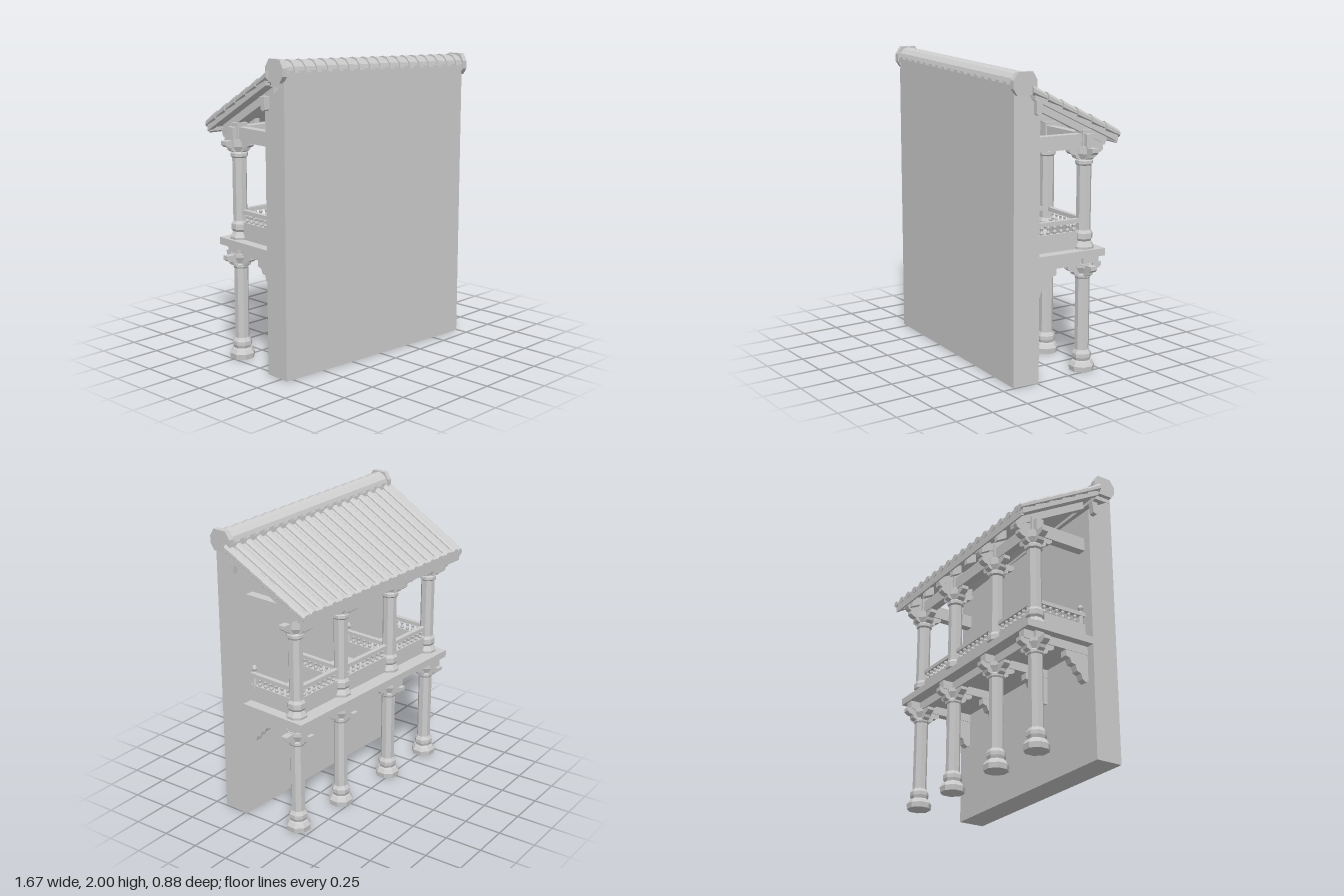
import * as THREE from 'three';

export function createModel() {
  const stone = new THREE.MeshStandardMaterial({ color: 0xcccccc });
  stone.name = 'plain grey';
  stone.flatShading = true;
  const root = new THREE.Group();
  root.name = 'balconyHouse';

  const add = (parent, name, geo, x = 0, y = 0, z = 0, ry = 0) => {
    const m = new THREE.Mesh(geo, stone);
    m.name = name;
    m.position.set(x, y, z);
    m.rotation.y = ry;
    parent.add(m);
    return m;
  };
  // box given by its limits
  const block = (parent, name, x0, x1, y0, y1, z0, z1) =>
    add(parent, name, new THREE.BoxGeometry(x1 - x0, y1 - y0, z1 - z0),
      (x0 + x1) / 2, (y0 + y1) / 2, (z0 + z1) / 2);
  // side profile of [outward, up] points, extruded across x; outward is -z
  const sideProfile = (pts, width) => {
    const s = new THREE.Shape(pts.map(p => new THREE.Vector2(p[0], p[1])));
    return new THREE.ExtrudeGeometry(s, { depth: width, bevelEnabled: false })
      .translate(0, 0, -width / 2).rotateY(Math.PI / 2);
  };
  const octLathe = pts => new THREE.LatheGeometry(
    pts.map(p => new THREE.Vector2(p[0], p[1])), 8).rotateY(Math.PI / 8);

  // turned slightly on its plot
  const house = new THREE.Group();
  house.name = 'house';
  house.rotation.y = -0.075;
  root.add(house);

  const columnX = [-0.69, -0.26, 0.25, 0.68];
  const columnZ = -0.2;
  const wallZ = 0.18;

  // rear wall with a sloping top
  add(house, 'wall', sideProfile([[-0.363, 0], [-0.18, 0], [-0.18, 1.73], [-0.25, 1.78], [-0.363, 1.85]], 1.545), -0.003);

  // balcony floor
  block(house, 'floor', -0.775, 0.765, 0.757, 0.805, -0.312, wallZ);
  block(house, 'floorBeam', -0.74, 0.73, 0.70, 0.757, columnZ - 0.03, columnZ + 0.03);

  // columns
  const lowerColumn = octLathe([[0, 0], [0.08, 0], [0.084, 0.035], [0.066, 0.062], [0.056, 0.07],
    [0.063, 0.09], [0.063, 0.115], [0.05, 0.135], [0.047, 0.14], [0.047, 0.61], [0.053, 0.62],
    [0.053, 0.635], [0.047, 0.645], [0.066, 0.685], [0.066, 0.71], [0, 0.71]]);
  const upperColumn = octLathe([[0, 0.8], [0.068, 0.8], [0.07, 0.82], [0.055, 0.845], [0.05, 0.855],
    [0.06, 0.87], [0.06, 0.905], [0.05, 0.92], [0.047, 0.925], [0.047, 1.335], [0.057, 1.345],
    [0.057, 1.365], [0.048, 1.375], [0.066, 1.41], [0.066, 1.46], [0, 1.46]]);
  const corbel = sideProfile([[0, 0.70], [0, 0.525], [0.02, 0.515], [0.045, 0.53], [0.055, 0.565],
    [0.085, 0.575], [0.095, 0.615], [0.125, 0.62], [0.138, 0.65], [0.168, 0.66], [0.168, 0.70]], 0.05);
  const arm = sideProfile([[0, 0.075], [0, 0], [0.055, 0], [0.075, 0.01], [0.08, 0.03],
    [0.105, 0.035], [0.125, 0.05], [0.125, 0.075]], 0.045);
  const arms = (x, y, name) => {
    for (let k = 0; k < 4; k++) add(house, name, arm, x, y, columnZ, k * Math.PI / 2);
  };
  columnX.forEach((x, i) => {
    add(house, 'lowerColumn', lowerColumn, x, 0, columnZ);
    add(house, 'upperColumn', upperColumn, x, 0, columnZ);
    arms(x, 0.63, 'lowerBracket');
    arms(x, 1.375, 'upperBracket');
    add(house, 'wallCorbel', corbel, x, 0, wallZ);
    block(house, 'floorJoist', x - 0.028, x + 0.028, 0.70, 0.757, -0.3, wallZ);
    block(house, 'topBlock', x - 0.04, x + 0.04, 1.45, 1.56, columnZ - 0.04, columnZ + 0.04);
    if (i === 0 || i === 3) block(house, 'tieBeam', x - 0.03, x + 0.03, 1.443, 1.535, columnZ, wallZ);
    // stepped arm carrying the eave
    add(house, 'eaveBracket', sideProfile([[0, 0.08], [0, 0], [0.1, 0], [0.115, 0.02],
      [0.14, 0.025], [0.15, 0.05], [0.15, 0.08]], 0.045), x, 1.43, columnZ);
  });
  block(house, 'topBeam', -0.76, 0.75, 1.45, 1.535, columnZ - 0.028, columnZ + 0.028);

  // railings: low panel, balusters and handrail between two points
  const baluster = new THREE.LatheGeometry([[0.008, 0.915], [0.013, 0.93], [0.007, 0.945], [0.013, 0.96], [0.008, 0.975]]
    .map(p => new THREE.Vector2(p[0], p[1])), 6);
  const post = octLathe([[0.016, 0.8], [0.016, 1.0], [0.009, 1.01], [0.019, 1.03], [0.012, 1.048], [0, 1.055]]);
  const railing = (name, x, z, length, ry) => {
    const g = new THREE.Group();
    g.name = name;
    g.position.set(x, 0, z);
    g.rotation.y = ry;
    house.add(g);
    block(g, 'panel', 0, length, 0.80, 0.918, -0.014, 0.014);
    block(g, 'handrail', 0, length, 0.972, 0.998, -0.016, 0.016);
    const n = Math.round(length / 0.05);
    for (let i = 0; i < n; i++) add(g, 'baluster', baluster, (i + 0.5) * length / n);
  };
  columnX.forEach((x, i) => {
    railing('sideRailing', x, columnZ, wallZ - columnZ, -Math.PI / 2);
    add(house, 'railPost', post, x, 0, wallZ - 0.025);
    if (i < 3) railing('frontRailing', x, columnZ, columnX[i + 1] - x, 0);
  });

  // roof space: x along the eave, y above the roof surface, z from ridge (0.5) to eave (-0.5)
  const toRoof = geo => {
    const p = geo.attributes.position;
    for (let i = 0; i < p.count; i++) {
      const x = p.getX(i), t = 0.5 - p.getZ(i), k = (x + 0.81) / 1.61;
      const ridgeY = 1.905 - 0.065 * k, eaveY = 1.55 - 0.012 * k;
      p.setXYZ(i, x, ridgeY + (eaveY - ridgeY) * t + p.getY(i), 0.25 - 0.63 * t);
    }
    geo.computeVertexNormals();
    return geo;
  };
  const roofBox = (name, x0, x1, h0, h1, t0, t1) =>
    add(house, name, toRoof(new THREE.BoxGeometry(x1 - x0, h1 - h0, t1 - t0, 6, 1, 4)
      .translate((x0 + x1) / 2, (h0 + h1) / 2, 0.5 - (t0 + t1) / 2)));
  roofBox('roofDeck', -0.80, 0.785, -0.045, 0, 0, 0.99);
  roofBox('eaveFascia', -0.80, 0.785, -0.07, 0.008, 0.955, 0.99);
  for (const x of columnX) roofBox('rafter', x - 0.024, x + 0.024, -0.1, -0.045, 0.1, 0.93);
  for (let i = 0; i < 17; i++) {
    const x = -0.755 + i * 0.0915;
    add(house, 'roofRib', toRoof(new THREE.CylinderGeometry(0.03, 0.03, 1, 8, 4)
      .rotateX(Math.PI / 2).rotateZ(Math.PI / 8).scale(1, 0.8, 1).translate(x, 0, 0)));
    if (i % 2) roofBox('eaveBlock', x - 0.018, x + 0.018, -0.105, -0.045, 0.84, 0.95);
  }

  // overlapping tiles down both gables, on a board
  for (const x of [-0.797, 0.782]) {
    roofBox('gableBoard', x - 0.018, x + 0.018, -0.06, 0.005, 0.02, 0.98);
    for (let i = 0; i < 6; i++) {
      add(house, 'gableTile', toRoof(new THREE.CylinderGeometry(0.024, 0.033, 0.175, 8)
        .rotateX(-Math.PI / 2).rotateZ(Math.PI / 8).translate(x, -0.005, 0.5 - (i + 0.5) / 6)));
    }
    add(house, 'gableDrop', sideProfile([[0, 0.09], [0, 0.01], [0.015, 0], [0.035, 0.01], [0.045, 0.09]], 0.04), x, 1.68, 0.225);
  }

  // ridge: stepped tiles on a base, with a thicker cap at each end
  const ridge = new THREE.Group();
  ridge.name = 'ridge';
  ridge.position.set(0, 1.892, 0.3);
  ridge.rotation.z = -0.034;
  house.add(ridge);
  block(ridge, 'ridgeBase', -0.79, 0.785, -0.03, 0.012, -0.072, 0.072);
  block(ridge, 'ridgeFoot', -0.775, 0.77, -0.09, -0.03, -0.06, 0.06);
  const halfRound = (r0, r1, len) => new THREE.CylinderGeometry(r0, r1, len, 6, 1, false, 0, Math.PI).rotateZ(Math.PI / 2);
  const ridgeTile = halfRound(0.078, 0.068, 0.09);
  for (let i = 0; i < 18; i++) add(ridge, 'ridgeTile', ridgeTile, -0.745 + i * 0.0877);
  const cap = sideProfile([[-0.055, -0.06], [0.055, -0.06], [0.082, -0.02], [0.082, 0.03], [0.05, 0.08],
    [-0.05, 0.08], [-0.082, 0.03], [-0.082, -0.02]], 0.035);
  for (const x of [-0.785, 0.78]) add(ridge, 'ridgeCap', cap, x);

  return root;
}
